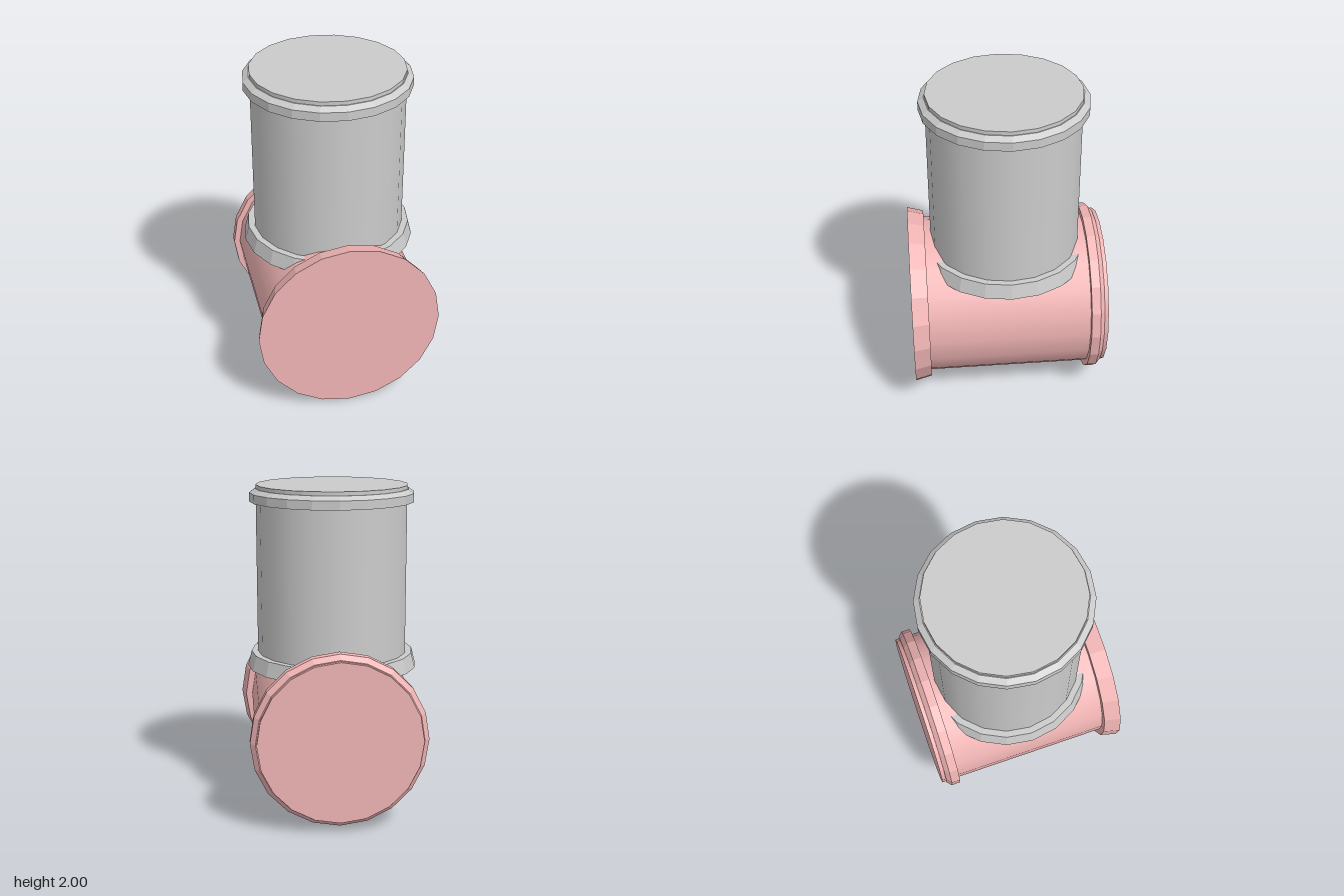
import * as THREE from 'three';

const SIDES = 20;

// A smooth pipe with flat-shaded collars, standing along its own y axis.
function makePipe(name, color, radius, bottom, top, collars) {
  const pipe = new THREE.Group();
  pipe.name = name;

  const body = new THREE.Mesh(
    new THREE.CylinderGeometry(radius, radius, top - bottom, SIDES),
    new THREE.MeshStandardMaterial({ color })
  );
  body.name = name + 'Body';
  body.position.y = (bottom + top) / 2;
  pipe.add(body);

  const flat = new THREE.MeshStandardMaterial({ color, flatShading: true });
  for (const [collarName, profile] of Object.entries(collars)) {
    const points = profile.map(([r, y]) => new THREE.Vector2(r, y));
    const collar = new THREE.Mesh(new THREE.LatheGeometry(points, SIDES), flat);
    collar.name = collarName;
    pipe.add(collar);
  }
  return pipe;
}

export function createModel() {
  const model = new THREE.Group();
  model.name = 'pipeJunction';

  // Upright branch: flared skirt at the joint, bevelled rim at the top
  model.add(makePipe('uprightPipe', 0xcccccc, 0.458, 0.89, 2, {
    jointSkirt: [[0.458, 0.89], [0.52, 0.89], [0.497, 0.98], [0.458, 0.98]],
    topRim: [[0.458, 1.9], [0.497, 1.9], [0.497, 1.953], [0.463, 1.977], [0.458, 1.977]],
  }));

  // Horizontal main: bevelled rim at the back, flared flange with a closed face at the front
  const main = makePipe('mainPipe', 0xf0b4b4, 0.49, -0.595, 0.5, {
    backRim: [[0.49, -0.57], [0.496, -0.57], [0.527, -0.542], [0.527, -0.487], [0.49, -0.487]],
    frontFlange: [[0.49, 0.495], [0.53, 0.495], [0.555, 0.595], [0, 0.595]],
  });
  main.rotation.x = Math.PI / 2;
  main.position.y = 0.557;
  model.add(main);

  return model;
}
